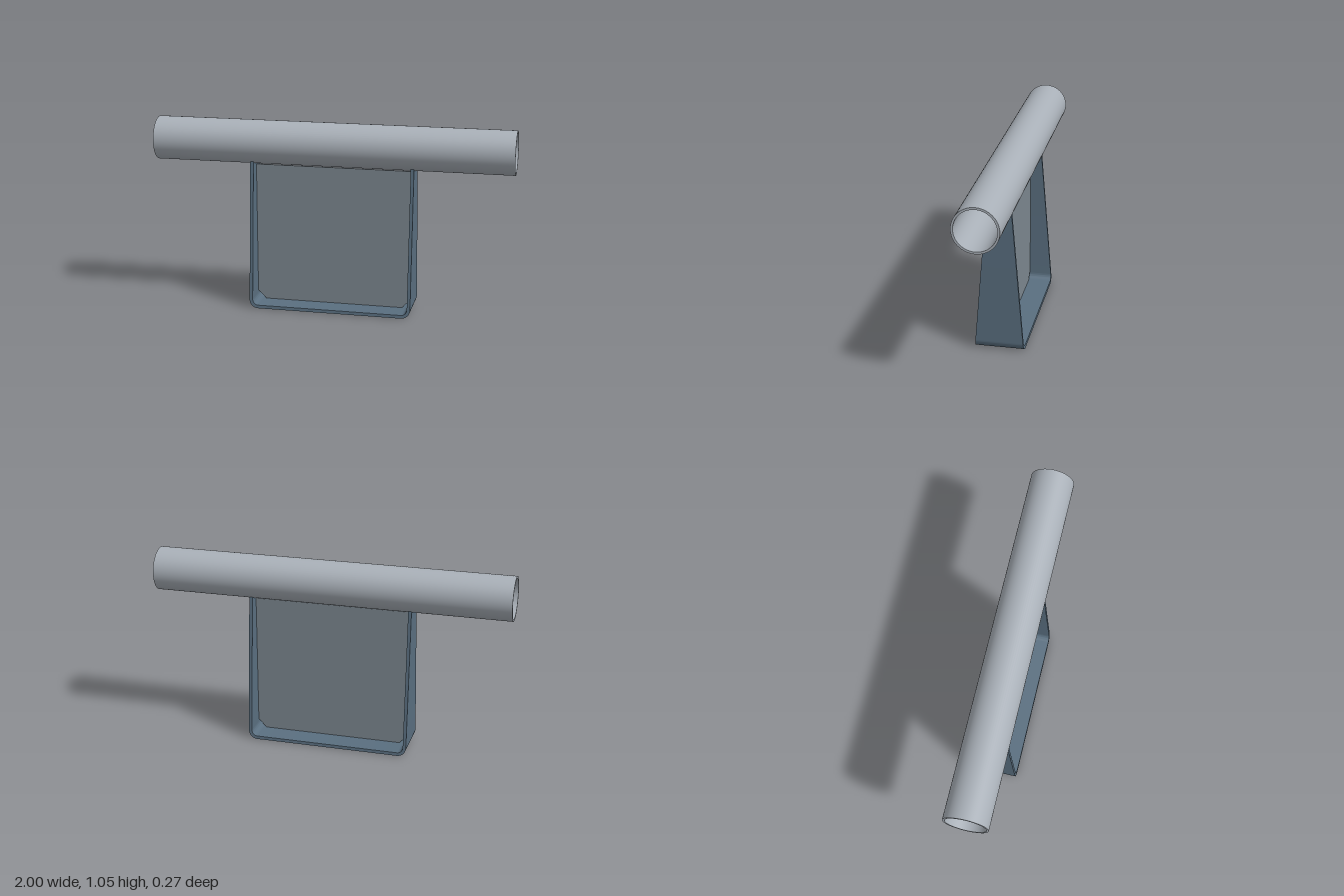
import * as THREE from 'three';
import { toCreasedNormals } from 'three/addons/utils/BufferGeometryUtils.js';

const TUBE_Y = 0.933, TUBE_R = 0.121, TUBE_INNER = 0.109;
const HALF_W = 0.457, WALL = 0.018, CORNER = 0.05, TOP = 0.833;

function addMesh(group, name, geometry, color) {
  const mesh = new THREE.Mesh(geometry, new THREE.MeshStandardMaterial({ color }));
  mesh.name = name;
  group.add(mesh);
}

// Hollow round rail lying along x
function railGeometry() {
  const profile = [[TUBE_R, -1], [TUBE_R, 1], [TUBE_INNER, 1], [TUBE_INNER, -1], [TUBE_R, -1]]
    .map(([r, y]) => new THREE.Vector2(r, y));
  const geo = toCreasedNormals(new THREE.LatheGeometry(profile, 64), 0.6);
  return geo.rotateZ(Math.PI / 2).translate(0, TUBE_Y, 0);
}

// U-shaped strap, tapering in depth towards the top and cut to fit the rail
function strapGeometry() {
  const w = HALF_W, wi = HALF_W - WALL, r = CORNER;
  const shape = new THREE.Shape();
  shape.moveTo(-w, TOP);
  shape.lineTo(-w, r);
  shape.absarc(-w + r, r, r, Math.PI, Math.PI * 1.5, false);
  shape.absarc(w - r, r, r, Math.PI * 1.5, Math.PI * 2, false);
  shape.lineTo(w, TOP);
  shape.lineTo(wi, TOP);
  shape.absarc(w - r, r, r - WALL, 0, -Math.PI / 2, true);
  shape.absarc(-w + r, r, r - WALL, -Math.PI / 2, -Math.PI, true);
  shape.lineTo(-wi, TOP);
  shape.closePath();

  const geo = new THREE.ExtrudeGeometry(shape, { depth: 2, steps: 20, bevelEnabled: false, curveSegments: 10 });
  geo.translate(0, 0, -1);
  const pos = geo.attributes.position;
  for (let i = 0; i < pos.count; i++) {
    const y = pos.getY(i);
    const z = pos.getZ(i) * (0.135 - 0.068 * y / TOP);
    pos.setZ(i, z);
    if (y > TOP - 1e-4) pos.setY(i, TUBE_Y - Math.sqrt(TUBE_R ** 2 - z * z));
  }
  return toCreasedNormals(geo, 0.5);
}

// Thin infill panel with clipped lower corners
function panelGeometry() {
  const w = HALF_W - WALL, t = 0.01;
  const shape = new THREE.Shape([
    [-w, 0.805], [-w, 0.065], [-w + 0.046, WALL], [w - 0.046, WALL], [w, 0.065], [w, 0.805],
  ].map(([x, y]) => new THREE.Vector2(x, y)));
  return new THREE.ExtrudeGeometry(shape, { depth: t, bevelEnabled: false }).translate(0, 0, -t / 2);
}

export function createModel() {
  const model = new THREE.Group();
  model.name = 'railWithBracket';
  addMesh(model, 'rail', railGeometry(), 0xa9b0b8);
  addMesh(model, 'strap', strapGeometry(), 0x5a6f80);
  addMesh(model, 'panel', panelGeometry(), 0x7d8890);
  return model;
}
